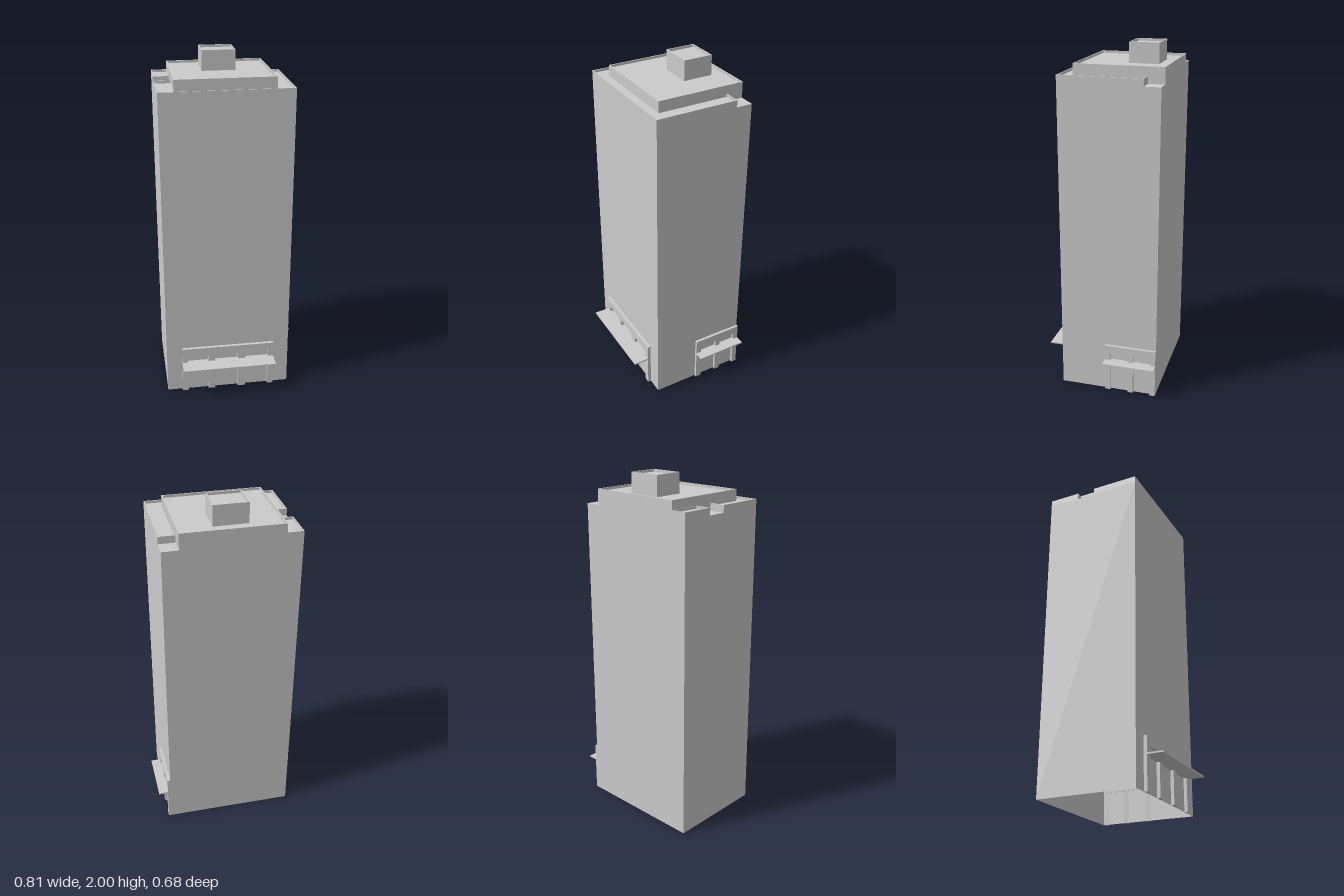
import * as THREE from 'three';

const grey = new THREE.MeshStandardMaterial({ color: 0xcccccc, flatShading: true, side: THREE.DoubleSide });

function addMesh(parent, name, geometry) {
  const mesh = new THREE.Mesh(geometry, grey);
  mesh.name = name;
  parent.add(mesh);
  return mesh;
}

// Box given by its min and max corners
function boxGeometry([x0, y0, z0], [x1, y1, z1]) {
  return new THREE.BoxGeometry(x1 - x0, y1 - y0, z1 - z0)
    .translate((x0 + x1) / 2, (y0 + y1) / 2, (z0 + z1) / 2);
}

const rect = (x0, z0, x1, z1) => [[x0, z0], [x0, z1], [x1, z1], [x1, z0]];

// Moves every edge of a right-angled [x, z] outline inwards by t
function inset(outline, t) {
  const n = outline.length;
  const inward = (a, b) => {
    const dx = b[0] - a[0], dz = b[1] - a[1], l = Math.hypot(dx, dz);
    return [dz / l * t, -dx / l * t];
  };
  return outline.map((p, i) => {
    const n1 = inward(outline[(i + n - 1) % n], p);
    const n2 = inward(p, outline[(i + 1) % n]);
    return [p[0] + n1[0] + n2[0], p[1] + n1[1] + n2[1]];
  });
}

// Upright prism over an [x, z] outline, with an optional hole
function prism(outline, y0, y1, hole) {
  const flat = (pts) => pts.map(([x, z]) => new THREE.Vector2(x, -z));
  const shape = new THREE.Shape(flat(outline));
  if (hole) shape.holes.push(new THREE.Path(flat(hole)));
  return new THREE.ExtrudeGeometry(shape, { depth: y1 - y0, bevelEnabled: false })
    .rotateX(-Math.PI / 2).translate(0, y0, 0);
}

// Roof level: a sunken deck inside a thin parapet
function roofLevel(name, outline, y0, y1) {
  const group = new THREE.Group();
  group.name = name;
  const inner = inset(outline, 0.006);
  addMesh(group, 'parapet', prism(outline, y0, y1, inner));
  addMesh(group, 'deck', prism(inner, y0, y1 - 0.014));
  return group;
}

// Shopfront in local space: runs along x, wall plane at z = 0
function shopfront(name, x0, x1, openings, depth, canopyReach) {
  const group = new THREE.Group();
  group.name = name;
  const top = 0.29, head = 0.24;
  const shape = new THREE.Shape();
  shape.moveTo(x0, 0);
  for (const [a, b] of openings) {
    shape.lineTo(a, 0);
    shape.lineTo(a, head);
    shape.lineTo(b, head);
    shape.lineTo(b, 0);
  }
  shape.lineTo(x1, 0);
  shape.lineTo(x1, top);
  shape.lineTo(x0, top);
  addMesh(group, 'pillarFrame', new THREE.ExtrudeGeometry(shape, { depth, bevelEnabled: false }));
  addMesh(group, 'canopy', boxGeometry([x0, 0.189, -0.003], [x1, 0.198, canopyReach]));
  return group;
}

export function createModel() {
  const model = new THREE.Group();
  model.name = 'towerBlock';
  const left = 0.335, right = -0.405, back = -0.34, front = 0.23, base = 1.81;

  // Tower shell, open underneath (the fourth face of a box is its underside)
  const shell = boxGeometry([right, 0, back], [left, base, front]);
  const index = Array.from(shell.index.array);
  index.splice(18, 6);
  shell.setIndex(index);
  shell.clearGroups();
  addMesh(model, 'tower', shell);

  // Terrace wraps round the front and both sides, leaving notches behind
  const terrace = [
    [right, -0.045], [right, front], [left, front], [left, -0.247],
    [0.2, -0.247], [0.2, 0.1], [-0.27, 0.1], [-0.27, -0.045],
  ];
  model.add(
    roofLevel('terrace', terrace, base, 1.85),
    roofLevel('cornerRoof', rect(right, back, -0.312, -0.153), base, 1.85),
    roofLevel('upperRoof', rect(-0.315, back, 0.244, 0.168), base, 1.9),
    roofLevel('penthouse', rect(-0.135, -0.264, 0.056, -0.094), 1.88, 2),
  );

  // Front entrance arcade
  const frontShop = shopfront('frontShopfront', -0.315, 0.242,
    [[-0.28, -0.157], [-0.117, 0.023], [0.069, 0.208]], 0.019, 0.11);
  frontShop.position.z = front;
  model.add(frontShop);

  // Side arcade: local x runs towards the back
  const sideShop = shopfront('sideShopfront', 0.036, 0.34,
    [[0.07, 0.175], [0.207, 0.308]], 0.016, 0.07);
  sideShop.rotation.y = Math.PI / 2;
  sideShop.position.x = left;
  model.add(sideShop);

  return model;
}
